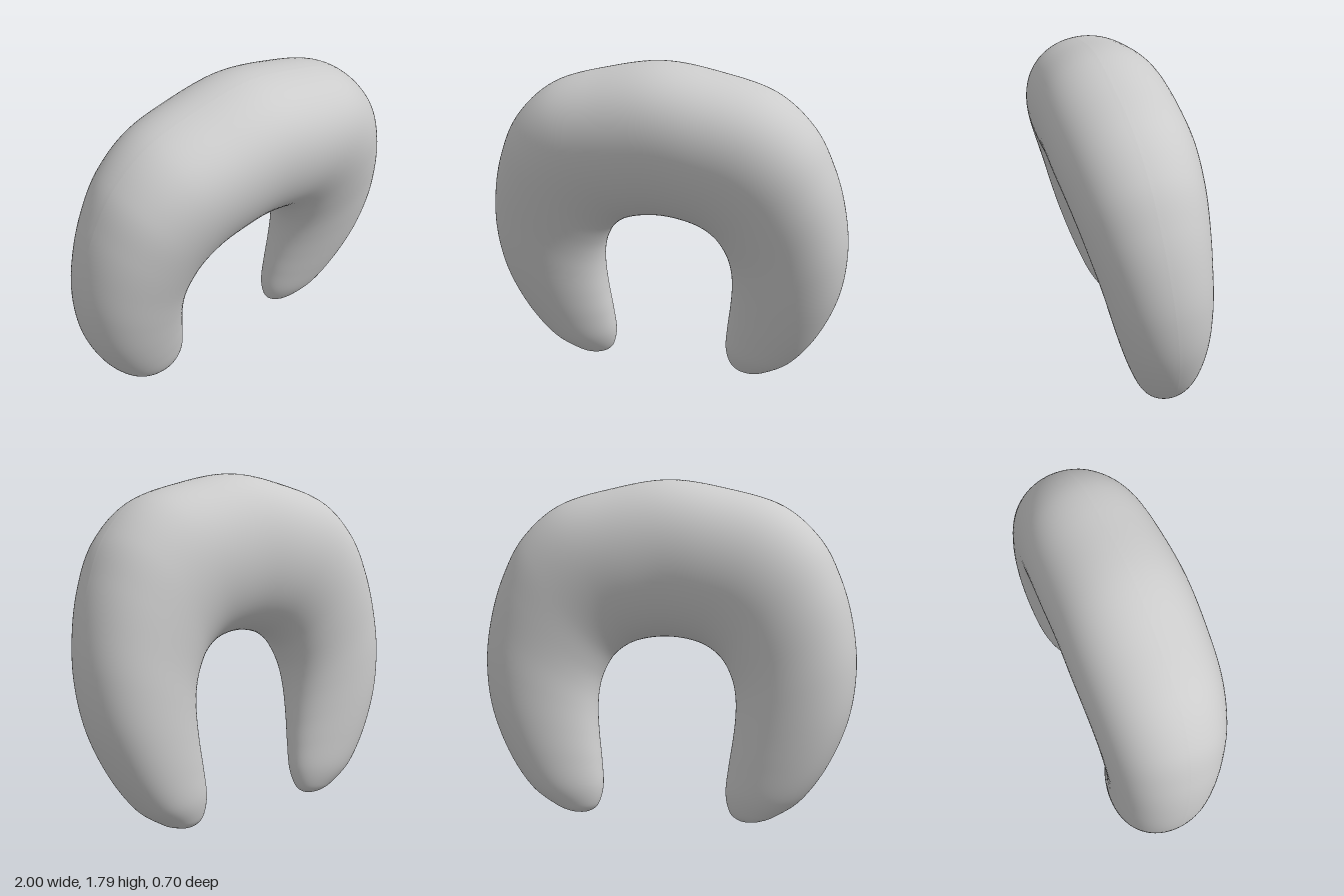
import * as THREE from 'three';

// Ribs from the middle of the crown to the tip of one arm:
// [outer x, outer y, inner x, inner y, half thickness]
const RIBS = [
  [0, 1.79, 0, 0.963, 0.35],
  [0.31, 1.743, 0.12, 0.95, 0.348],
  [0.6, 1.655, 0.22, 0.915, 0.337],
  [0.8, 1.485, 0.3, 0.85, 0.317],
  [0.91, 1.28, 0.352, 0.756, 0.294],
  [0.975, 1.06, 0.375, 0.66, 0.271],
  [1, 0.82, 0.378, 0.55, 0.25],
  [0.968, 0.567, 0.366, 0.42, 0.222],
  [0.87, 0.326, 0.348, 0.29, 0.185],
  [0.738, 0.139, 0.336, 0.15, 0.14],
  [0.604, 0.043, 0.36, 0.05, 0.085],
  [0.53, 0.012, 0.41, 0.009, 0.045],
  [0.47, 0, 0.47, 0, 0],
];
const TILT = 0.136;
const ALONG = 192;
const ACROSS = 40;

// Mirrored rib list, running from one arm tip over the crown to the other
function ribCurve(toPoint) {
  const half = RIBS.map(toPoint);
  const mirrored = half.slice(1).reverse().map((p) => new THREE.Vector3(-p.x, p.y, p.z));
  return new THREE.CatmullRomCurve3([...mirrored, ...half], false, 'catmullrom', 0.5);
}

// One half of the cushion cover, domed between the outer and inner seams
function panelGeometry(side) {
  const k = 1 / Math.cos(TILT);
  const outer = ribCurve(([x, y, , , h]) => new THREE.Vector3(x, y * k, h));
  const inner = ribCurve(([, , x, y]) => new THREE.Vector3(x, y * k, 0));
  const positions = [];
  const index = [];
  for (let i = 0; i <= ALONG; i++) {
    const o = outer.getPoint(i / ALONG);
    const n = inner.getPoint(i / ALONG);
    const h = Math.max(o.z, 0);
    for (let j = 0; j <= ACROSS; j++) {
      const a = (j / ACROSS) * Math.PI;
      const s = Math.sin(a);
      // half ellipse with its crest pushed a little towards the outer seam
      const t = 0.5 - 0.5 * Math.cos(a) - 0.07 * s * s;
      positions.push(o.x + (n.x - o.x) * t, o.y + (n.y - o.y) * t, side * h * s);
      if (i < ALONG && j < ACROSS) {
        const p = i * (ACROSS + 1) + j;
        const q = p + ACROSS + 1;
        if (side > 0) index.push(p, p + 1, q, q, p + 1, q + 1);
        else index.push(p, q, p + 1, q, q + 1, p + 1);
      }
    }
  }
  const geometry = new THREE.BufferGeometry();
  geometry.setAttribute('position', new THREE.Float32BufferAttribute(positions, 3));
  geometry.setIndex(index);
  geometry.computeVertexNormals();
  return geometry;
}

export function createModel() {
  const model = new THREE.Group();
  model.name = 'horseshoePillow';
  const material = new THREE.MeshStandardMaterial({ color: 0xcccccc, side: THREE.DoubleSide });

  // The cushion leans forward, so its seam plane is tilted
  const cushion = new THREE.Group();
  cushion.name = 'cushion';
  cushion.rotation.x = TILT;
  cushion.position.z = -0.2;
  for (const [name, side] of [['frontPanel', 1], ['backPanel', -1]]) {
    const panel = new THREE.Mesh(panelGeometry(side), material);
    panel.name = name;
    cushion.add(panel);
  }
  model.add(cushion);
  return model;
}
